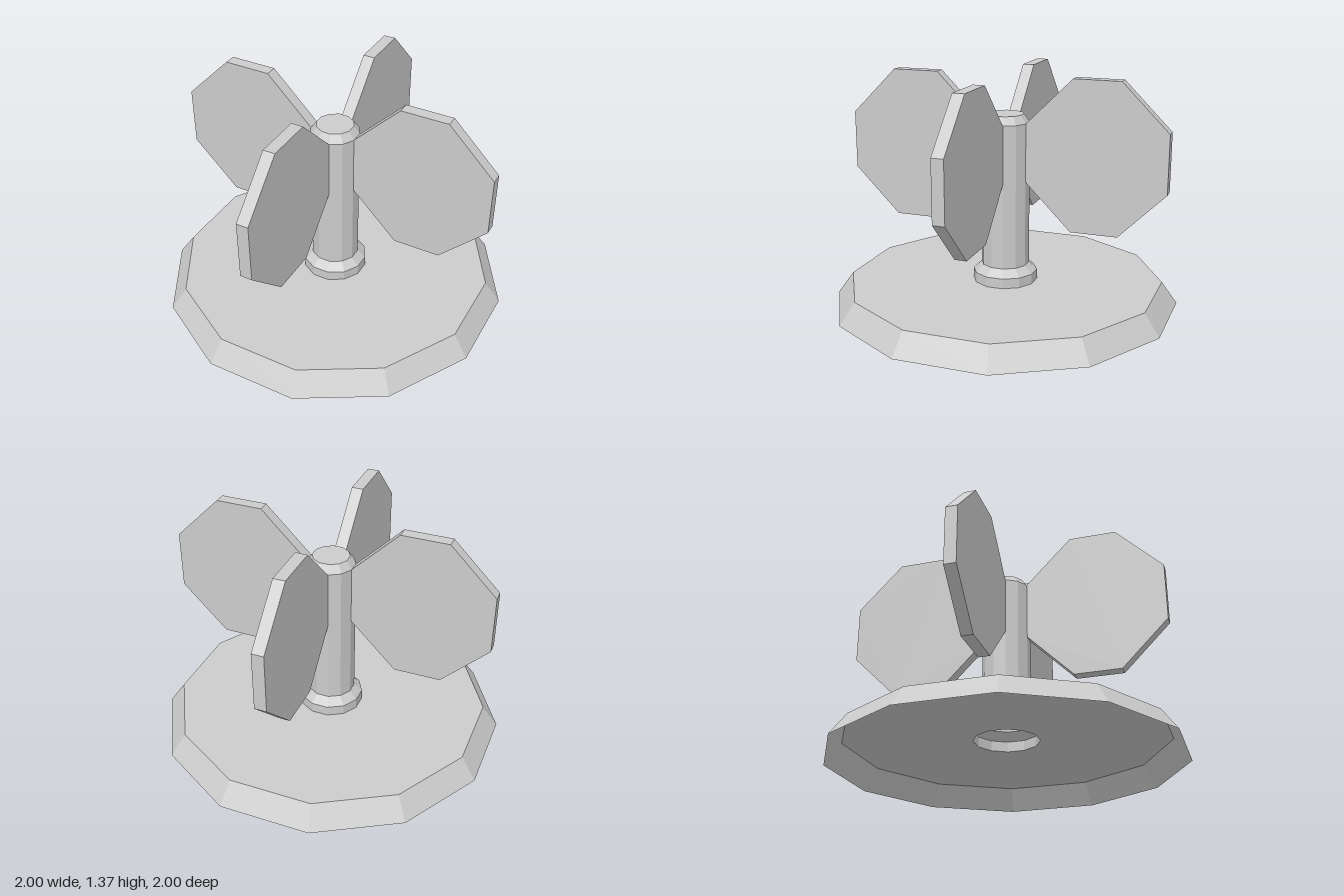
import * as THREE from 'three';

const SIDES = 12;

export function createModel() {
  const model = new THREE.Group();
  const shell = new THREE.MeshStandardMaterial({ color: 0xcccccc, flatShading: true, side: THREE.DoubleSide });
  const solid = new THREE.MeshStandardMaterial({ color: 0xcccccc, flatShading: true });

  // Twelve-sided open shell; profile radii are measured to the flats, which face the axes
  function addShell(name, profile) {
    const points = profile.map(([r, y]) => new THREE.Vector2(r / Math.cos(Math.PI / SIDES), y));
    const geometry = new THREE.LatheGeometry(points, SIDES).rotateY(Math.PI / SIDES);
    const mesh = new THREE.Mesh(geometry, shell);
    mesh.name = name;
    model.add(mesh);
  }

  // Hollow base with sloping skirt, open underneath and around the collar
  addShell('base', [[1, 0], [0.91, 0.13], [0.185, 0.13]]);
  addShell('collar', [[0.185, 0.13], [0.185, 0.19], [0.138, 0.235]]);
  addShell('post', [[0.138, 0.235], [0.138, 1.095]]);
  addShell('postCap', [[0.138, 1.095], [0.105, 1.142], [0, 1.142]]);

  // Four upright octagonal blades around the post
  const thickness = 0.07;
  const outline = [
    [0.137, 0.75], [0.412, 0.475], [0.69, 0.475], [0.965, 0.75],
    [0.965, 1.095], [0.69, 1.37], [0.412, 1.37], [0.137, 1.095],
  ];
  const shape = new THREE.Shape(outline.map(([x, y]) => new THREE.Vector2(x, y)));
  const bladeGeometry = new THREE.ExtrudeGeometry(shape, { depth: thickness, bevelEnabled: false });
  bladeGeometry.translate(0, 0, -thickness / 2);
  ['leftBlade', 'backBlade', 'rightBlade', 'frontBlade'].forEach((name, i) => {
    const blade = new THREE.Mesh(bladeGeometry, solid);
    blade.name = name;
    blade.rotation.y = (i * Math.PI) / 2;
    model.add(blade);
  });

  return model;
}
